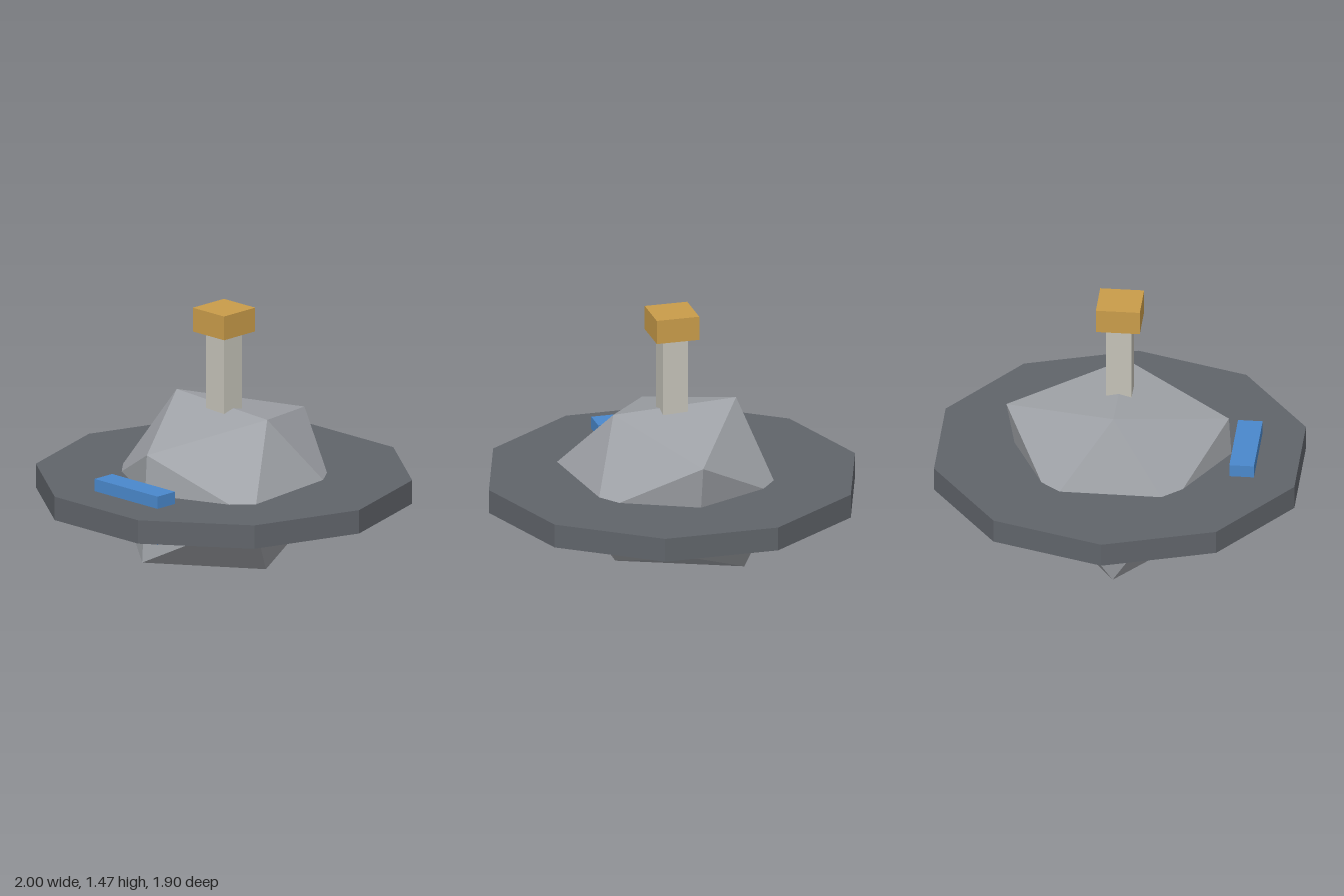
import * as THREE from 'three';

const paint = (name, color) => {
  const material = new THREE.MeshStandardMaterial({ color });
  material.name = name;
  return material;
};

// Faceted body: an irregular icosahedron, three groups of four corners
function rockGeometry() {
  const corners = [
    [-0.35, 0.96, 0], [0.32, 0.93, 0], [-0.395, 0.005, 0], [0.31, 0.11, 0],
    [0, 0.21, 0.61], [0, 0.79, 0.575], [0, 0.27, -0.5], [0, 0.81, -0.6],
    [0.5, 0.515, -0.31], [0.58, 0.515, 0.36], [-0.5, 0.515, -0.315], [-0.505, 0.515, 0.31],
  ];
  const faces = [
    0, 11, 5, 0, 5, 1, 0, 1, 7, 0, 7, 10, 0, 10, 11,
    1, 5, 9, 5, 11, 4, 11, 10, 2, 10, 7, 6, 7, 1, 8,
    3, 9, 4, 3, 4, 2, 3, 2, 6, 3, 6, 8, 3, 8, 9,
    4, 9, 5, 2, 4, 11, 6, 2, 10, 8, 6, 7, 9, 8, 1,
  ];
  const geometry = new THREE.BufferGeometry();
  const points = faces.flatMap((i) => corners[i]);
  geometry.setAttribute('position', new THREE.Float32BufferAttribute(points, 3));
  geometry.computeVertexNormals(); // unshared corners give flat facets
  return geometry;
}

export function createModel() {
  const model = new THREE.Group();
  const add = (name, geometry, material, x = 0, y = 0, z = 0) => {
    const mesh = new THREE.Mesh(geometry, material);
    mesh.name = name;
    mesh.position.set(x, y, z);
    model.add(mesh);
    return mesh;
  };

  const rockGrey = paint('rock grey', 0xa0a3a8);
  const darkGrey = paint('dark grey', 0x60646a);
  const paleStone = paint('pale stone', 0xc4c2b8);
  const ochre = paint('ochre', 0xc99c4a);
  const blue = paint('blue', 0x4a88cc);
  darkGrey.flatShading = true;

  add('rockBody', rockGeometry(), rockGrey);

  // Ten-sided ring plate with corners on the x axis
  add('platform', new THREE.CylinderGeometry(1, 1, 0.128, 10, 1, false, Math.PI / 2), darkGrey, 0, 0.514, 0);

  // Tower and its cap
  add('tower', new THREE.BoxGeometry(0.135, 0.45, 0.135), paleStone, 0, 1.135, 0);
  add('towerCap', new THREE.BoxGeometry(0.232, 0.13, 0.232), ochre, 0, 1.413, 0);

  // Block set through the front of the platform
  add('frontBay', new THREE.BoxGeometry(0.466, 0.264, 0.13), blue, 0, 0.513, 0.665);

  return model;
}
